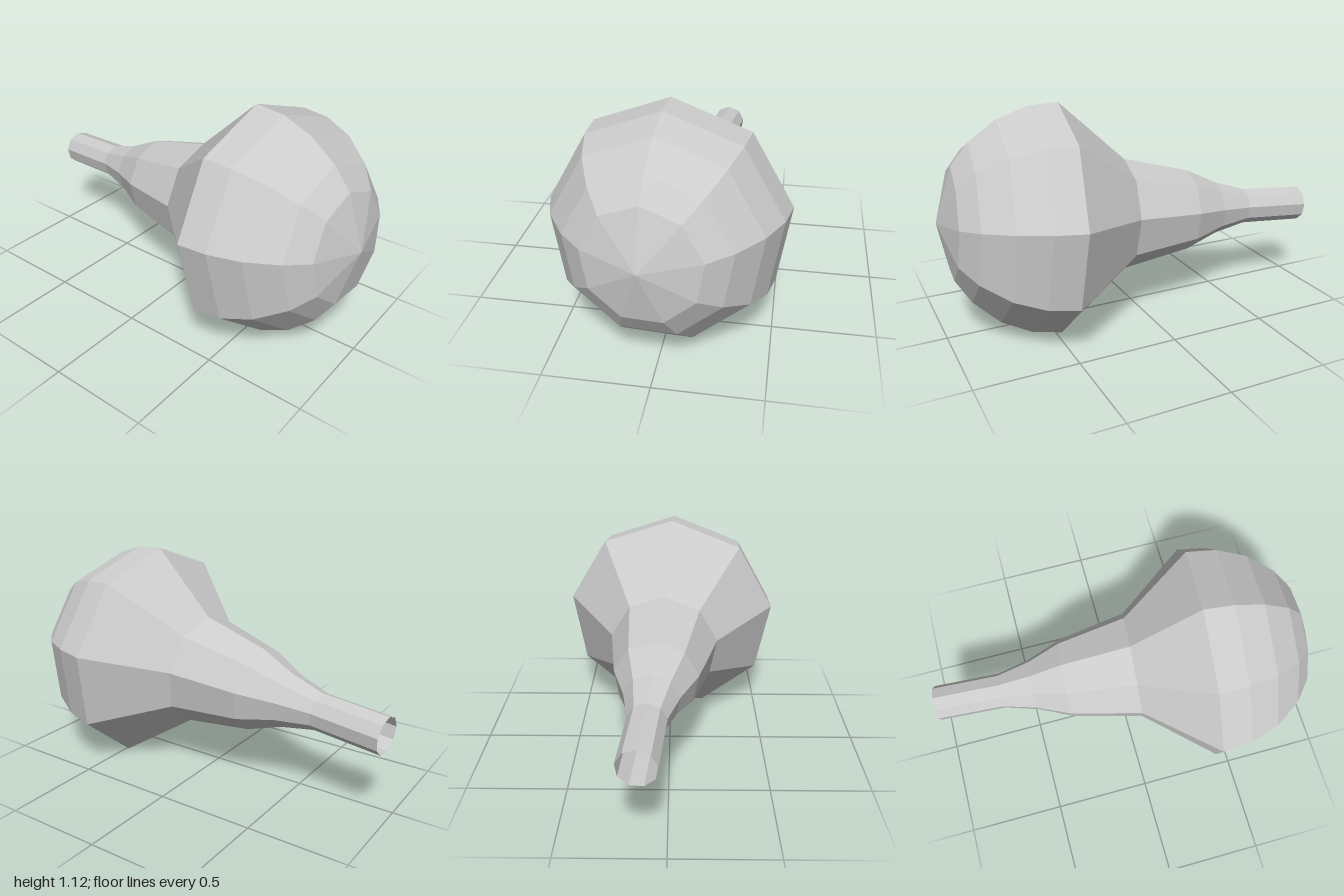
import * as THREE from 'three';

const SIDES = 9;
const BULB_RADIUS = 0.577;
const RIM = 0.425; // where the domed head meets the tapering shell

export function createModel() {
  const group = new THREE.Group();
  group.name = 'bulb';
  const material = new THREE.MeshStandardMaterial({
    color: 0xcccccc, flatShading: true, side: THREE.DoubleSide,
  });

  // Profiles as [radius, distance along the axis], from back to front
  const neckProfile = [
    [0.093, -0.99], [0.094, -0.642], [0.139, -0.467], [0.213, -0.29], [0.286, 0.069], [BULB_RADIUS, RIM],
  ].map(([r, t]) => new THREE.Vector2(r, t));

  // Domed head: a faceted hemisphere closing at the nose
  const headProfile = [0, 15, 31, 48, 61.5, 90].map((deg) => {
    const a = THREE.MathUtils.degToRad(deg);
    return new THREE.Vector2(deg === 90 ? 0 : BULB_RADIUS * Math.cos(a), RIM + BULB_RADIUS * Math.sin(a));
  });

  // Turn a profile about the z axis, with one corner close to the top
  function addTurned(name, profile) {
    const geometry = new THREE.LatheGeometry(profile, SIDES, Math.PI + 0.017);
    geometry.rotateX(Math.PI / 2);
    const mesh = new THREE.Mesh(geometry, material);
    mesh.name = name;
    group.add(mesh);
  }
  addTurned('openNeck', neckProfile);
  addTurned('domedHead', headProfile);

  // The whole bulb leans slightly up and to the right
  const axis = new THREE.Vector3(-0.088, 0.068, 1).normalize();
  group.quaternion.setFromUnitVectors(new THREE.Vector3(0, 0, 1), axis);
  group.position.set(0.038, 0.524, 0);
  return group;
}
